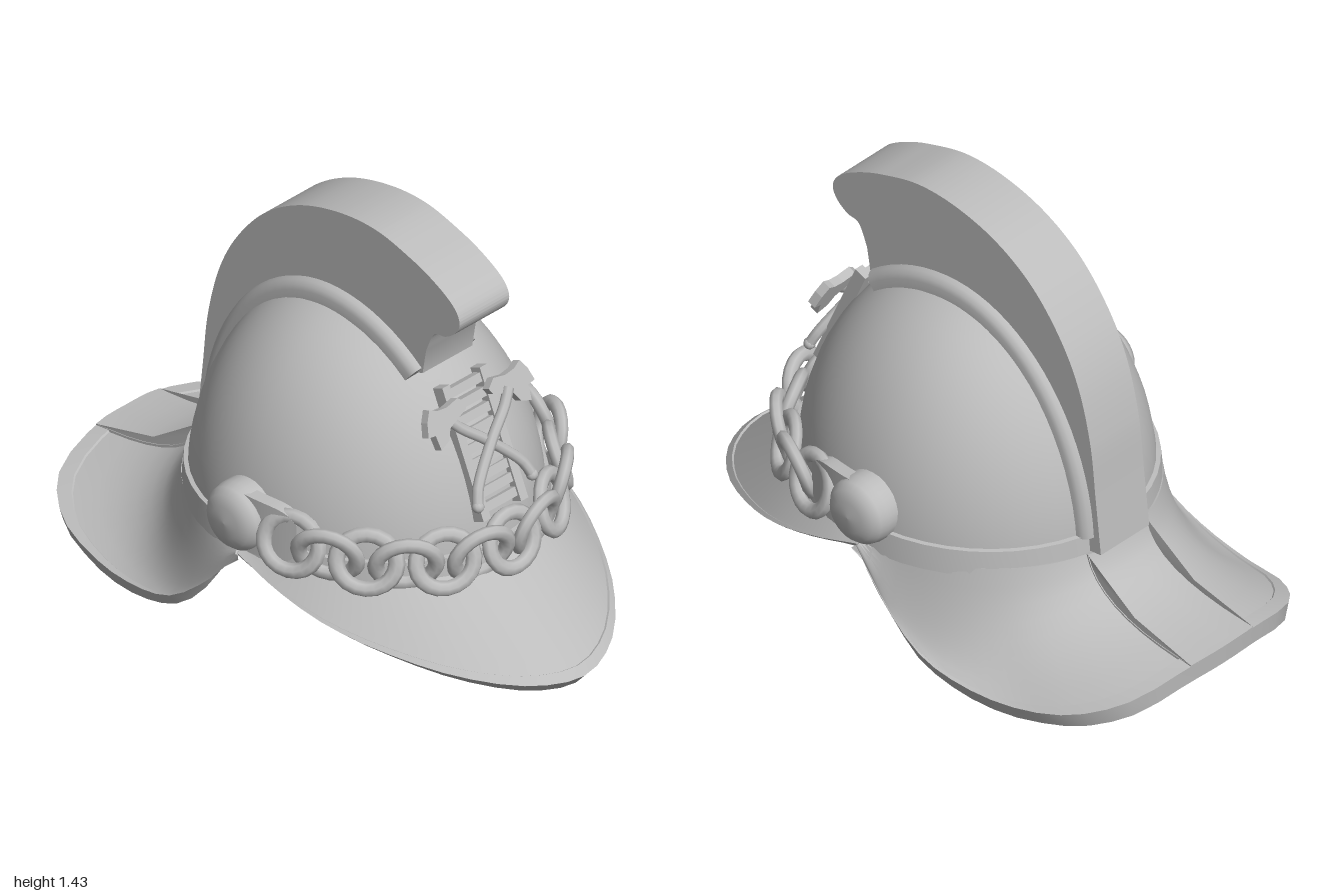
import * as THREE from 'three';
import { toCreasedNormals } from 'three/addons/utils/BufferGeometryUtils.js';

const V = (x, y, z) => new THREE.Vector3(x, y, z);
const CZ = 0.03; // z of the dome axis

// Skin closed cross-section loops, cap both ends, and wind the faces outward
function loft(sections, crease = 0.6) {
  const tris = [], m = sections[0].length;
  for (let i = 0; i + 1 < sections.length; i++) {
    for (let j = 0; j < m; j++) {
      const k = (j + 1) % m, A = sections[i], B = sections[i + 1];
      tris.push([A[j], B[j], B[k]], [A[j], B[k], A[k]]);
    }
  }
  const cap = (S, flip) => {
    const c = V(0, 0, 0);
    S.forEach(p => c.addScaledVector(p, 1 / m));
    S.forEach((p, j) => {
      const q = S[(j + 1) % m];
      tris.push(flip ? [c, q, p] : [c, p, q]);
    });
  };
  cap(sections[0], false);
  cap(sections[sections.length - 1], true);
  let volume = 0;
  tris.forEach(([a, b, c]) => { volume += a.dot(b.clone().cross(c)); });
  const pos = [];
  tris.forEach(([a, b, c]) => {
    (volume > 0 ? [a, b, c] : [a, c, b]).forEach(p => pos.push(p.x, p.y, p.z));
  });
  const geo = new THREE.BufferGeometry();
  geo.setAttribute('position', new THREE.Float32BufferAttribute(pos, 3));
  return toCreasedNormals(geo, crease);
}

// Thick curved sheet from a surface function, with a border where v > edge
// raised by stepUp above and stepDown below; taper(u) thins it towards the ends
function sheet(fn, nu, thick, lift, edge, stepUp, stepDown, taper = () => 1) {
  const normal = (u, v) => {
    const e = 0.01;
    const du = fn(Math.min(1, u + e), v).sub(fn(Math.max(0, u - e), v));
    const dv = fn(u, Math.min(1, v + e)).sub(fn(u, Math.max(0, v - e)));
    const n = du.cross(dv).normalize(), p = fn(u, v);
    return n.dot(V(p.x, 1, p.z - CZ)) < 0 ? n.negate() : n;
  };
  const at = (u, v, d) => fn(u, v).addScaledVector(normal(u, v), d * taper(u));
  const sections = [];
  for (let i = 0; i <= nu; i++) {
    const u = i / nu, loop = [], vs = [];
    for (let j = 0; j <= 8; j++) vs.push(j / 8 * edge);
    vs.forEach(v => loop.push(at(u, v, lift)));
    loop.push(at(u, edge + 0.005, lift + stepUp), at(u, 1, lift + stepUp));
    loop.push(at(u, 1, -thick - stepDown), at(u, edge + 0.005, -thick - stepDown));
    vs.reverse().forEach(v => loop.push(at(u, v, -thick)));
    sections.push(loop);
  }
  return loft(sections);
}

// Surface between the dome base and a mirrored rim curve
function flare(half, side, baseZ, control) {
  const pts = half.map(p => V(...p));
  const rim = new THREE.CatmullRomCurve3(
    [...pts, ...pts.slice(0, -1).reverse().map(p => V(-p.x, p.y, p.z))]);
  return (u, v) => {
    const a = Math.PI * u, r = rim.getPoint(u);
    const b = V(0.54 * Math.cos(a), 0.395, CZ + side * baseZ * Math.sin(a));
    const c = control(b, r), w = 1 - v;
    return b.multiplyScalar(w * w).addScaledVector(c, 2 * w * v).addScaledVector(r, v * v);
  };
}

// Turned profile, stretched to the egg-shaped plan of the dome
function turned(profile) {
  const geo = new THREE.LatheGeometry(profile.map(p => new THREE.Vector2(...p)), 48);
  const p = geo.attributes.position;
  for (let i = 0; i < p.count; i++) {
    const z = p.getZ(i);
    p.setZ(i, CZ + z * (z > 0 ? 1.15 : 1.05));
  }
  return toCreasedNormals(geo.toNonIndexed(), 0.6);
}

// Point over the dome's centre line, at a distance from its surface
function ridge(phi, off) {
  const c = Math.cos(phi), s = Math.sin(phi), rz = c > 0 ? 0.61 : 0.557;
  const n = new THREE.Vector2(c / rz, s / 0.74).normalize();
  return new THREE.Vector2(CZ + rz * c + n.x * off, 0.37 + 0.74 * s + n.y * off);
}

export function createModel() {
  const model = new THREE.Group();
  const metal = new THREE.MeshStandardMaterial({ color: 0xbcbcbc });
  metal.name = 'grey metal';
  const add = (name, geo, parent = model) => {
    const mesh = new THREE.Mesh(geo, metal);
    mesh.name = name;
    parent.add(mesh);
    return mesh;
  };

  // Dome shell and base band
  const arc = (r, h) => Array.from({ length: 19 }, (_, i) => {
    const a = i / 18 * Math.PI / 2;
    return [r * Math.pow(Math.sin(a), 0.96), 0.37 + h * Math.cos(a)];
  });
  add('dome', turned([...arc(0.485, 0.695), ...arc(0.53, 0.74).reverse()]));
  add('baseBand', turned([[0.483, 0.368], [0.548, 0.368], [0.54, 0.455], [0.5, 0.46]]));

  // Front peak
  const taper = u => 0.3 + 0.7 * Math.sin(Math.PI * u);
  const peakRim = [[0.562, 0.04], [0.568, 0.22], [0.54, 0.41], [0.46, 0.6], [0.335, 0.79], [0.17, 0.935], [0, 0.99]]
    .map(([x, z]) => [x, 0.38 - 0.3 * (z - 0.04), z]);
  const peak = flare(peakRim, 1, 0.625, (b, r) => b.clone().lerp(r, 0.5));
  add('frontPeak', sheet(peak, 32, 0.024, 0, 0.91, 0.007, 0.026, taper));

  // Neck guard with a raised centre panel
  const guardRim = [[0.562, 0.375, 0.04], [0.572, 0.22, -0.09], [0.575, 0.1, -0.24], [0.562, 0.055, -0.4],
    [0.533, 0.05, -0.6], [0.478, 0.09, -0.8], [0.36, 0.14, -0.93], [0.14, 0.187, -0.985], [0, 0.19, -0.992]];
  const guard = flare(guardRim, -1, 0.58, (b, r) =>
    V(b.x * 1.07, r.y + 0.12 * (b.y - r.y), CZ + (b.z - CZ) * 1.07));
  add('neckGuard', sheet(guard, 40, 0.024, 0, 0.93, 0.006, 0.034, taper));
  const panel = (u, v) => guard(0.5 + (u - 0.5) * (1.25 - 0.25 * v) / 8, v);
  add('neckGuardPanel', sheet(panel, 6, 0.005, 0.009, 0.95, 0, 0));

  // Crest plate
  const crest = new THREE.Shape();
  crest.moveTo(0.4, 1.0);
  crest.lineTo(0.415, 1.09);
  crest.splineThru([[0.45, 1.165], [0.5, 1.18], [0.545, 1.215], [0.56, 1.26], [0.53, 1.31], [0.45, 1.36],
    [0.35, 1.4], [0.2, 1.437], [0.04, 1.43], [-0.13, 1.38], [-0.28, 1.285], [-0.4, 1.145], [-0.48, 0.99],
    [-0.53, 0.8], [-0.553, 0.6], [-0.575, 0.4]].map(p => new THREE.Vector2(...p)));
  for (let i = 0; i <= 16; i++) {
    const p = ridge(Math.PI * (0.99 - i / 16 * 0.67), -0.015);
    crest.lineTo(p.x, p.y);
  }
  const crestGeo = new THREE.ExtrudeGeometry(crest, { depth: 0.22, bevelEnabled: false, curveSegments: 40 });
  crestGeo.translate(0, 0, -0.11).rotateY(-Math.PI / 2);
  add('crest', toCreasedNormals(crestGeo, 0.5));

  // Rounded moulding under the crest, thinning towards the back
  const half = [[0.143, -0.03], [0.143, 0.008], [0.138, 0.024], [0.126, 0.036], [0.11, 0.042]];
  const bead = [...half, ...half.map(([x, r]) => [-x, r]).reverse()];
  const moulding = [];
  for (let i = 0; i <= 28; i++) {
    const t = i / 28, phi = Math.PI * (0.312 + t * 0.653);
    moulding.push(bead.map(([x, r]) => {
      const p = ridge(phi, r - 0.02 * t * t);
      return V(x, p.y, p.x);
    }));
  }
  add('crestMoulding', loft(moulding, 0.8));

  // Side bosses and strap ends
  const bossProfile = [[0.115, -0.04], [0.115, 0.015], [0.108, 0.045], [0.09, 0.067], [0.055, 0.08], [0, 0.085]];
  const bossGeo = new THREE.LatheGeometry(bossProfile.map(p => new THREE.Vector2(...p)), 28);
  for (const s of [1, -1]) {
    const boss = add(s > 0 ? 'leftBoss' : 'rightBoss', bossGeo);
    boss.position.set(s * 0.53, 0.51, CZ);
    boss.rotation.z = -s * Math.PI / 2;
    const strap = [];
    for (let i = 0; i <= 10; i++) {
      const t = i / 10, a = t * 0.37;
      const h = 0.105 - 0.01 * t - 0.04 * Math.pow(t, 8);
      strap.push([[0.52, -h], [0.565, -h], [0.565, h], [0.52, h]].map(([r, y]) =>
        V(s * r * Math.cos(a), 0.51 + y, CZ + r * 1.13 * Math.sin(a))));
    }
    add(s > 0 ? 'leftStrap' : 'rightStrap', loft(strap));
  }

  // Chain around the front
  const chain = new THREE.Group();
  chain.name = 'chain';
  model.add(chain);
  const path = new THREE.EllipseCurve(0, CZ, 0.57, 0.65, 0.34, Math.PI - 0.34);
  const linkGeo = new THREE.TorusGeometry(0.088, 0.025, 8, 20).scale(1.08, 1, 0.85);
  const links = 13;
  for (let i = 0; i < links; i++) {
    const t = i / (links - 1), p = path.getPointAt(t), d = path.getTangentAt(t);
    const link = add('chainLink', linkGeo, chain);
    link.position.set(p.x, 0.46 + 0.04 * Math.pow(2 * t - 1, 2), p.y);
    link.rotation.order = 'YXZ';
    link.rotation.y = Math.atan2(d.y, -d.x);
    link.rotation.x = i % 2 ? 0.3 : -0.3;
  }

  // Front badge: ladder behind two crossed axes
  const badge = new THREE.Group();
  badge.name = 'badge';
  badge.position.set(0, 0.78, 0.572);
  badge.rotation.x = -0.41;
  model.add(badge);
  for (const s of [1, -1]) {
    add('ladderRail', new THREE.BoxGeometry(0.032, 0.45, 0.045), badge).position.set(s * 0.083, -0.01, -0.035);
  }
  for (let i = 0; i < 9; i++) {
    add('ladderRung', new THREE.BoxGeometry(0.15, 0.03, 0.03), badge).position.set(0, -0.2 + i * 0.048, -0.035);
  }
  const headShape = new THREE.Shape([[0.05, 0.15], [0.08, 0.175], [0.13, 0.165], [0.17, 0.17], [0.2, 0.185],
    [0.222, 0.15], [0.235, 0.105], [0.205, 0.1], [0.2, 0.05], [0.16, 0.065], [0.14, 0.1], [0.1, 0.115], [0.06, 0.13]]
    .map(p => new THREE.Vector2(...p)));
  for (const s of [1, -1]) {
    const z = s > 0 ? 0.022 : 0;
    const handle = new THREE.CatmullRomCurve3([V(-0.13 * s, -0.17, z), V(-0.11 * s, -0.12, z),
      V(0, 0, z), V(0.09 * s, 0.08, z), V(0.125 * s, 0.125, z)]);
    add('axeHandle', new THREE.TubeGeometry(handle, 14, 0.018, 8), badge);
    add('axeHandleEnd', new THREE.SphereGeometry(0.02, 10, 8), badge).position.copy(handle.getPoint(0));
    const headGeo = new THREE.ExtrudeGeometry(headShape, { depth: 0.03, bevelEnabled: false });
    headGeo.translate(0, 0, -0.015);
    if (s < 0) headGeo.rotateY(Math.PI);
    add('axeHead', headGeo, badge).position.z = 0.005;
  }
  return model;
}
